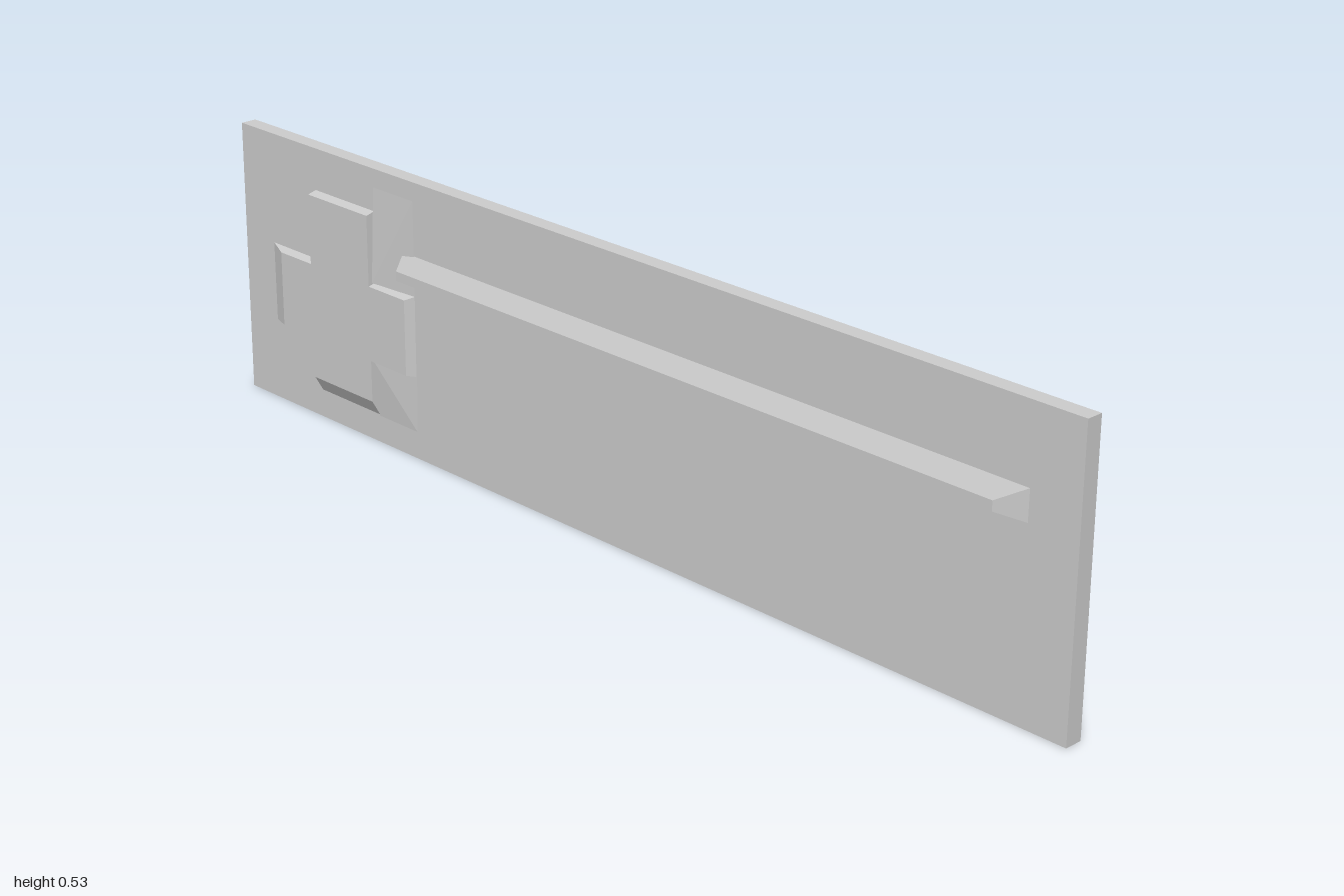
import * as THREE from 'three';

const material = new THREE.MeshStandardMaterial({ color: 0xcccccc, flatShading: true });
const HALF = 0.017; // half thickness of the slab
const RAISED = 0.034; // height of the raised relief

function addMesh(parent, name, geometry) {
  geometry.computeVertexNormals();
  const mesh = new THREE.Mesh(geometry, material);
  mesh.name = name;
  parent.add(mesh);
}

// Raised block: base and face rectangles are [x0, x1, y0, y1]; side is +1 front, -1 back
function relief(parent, name, side, base, face) {
  const geometry = new THREE.BoxGeometry(1, 1, 1).toNonIndexed();
  const p = geometry.attributes.position;
  for (let i = 0; i < p.count; i++) {
    const outer = p.getZ(i) * side > 0;
    const r = outer ? face : base;
    p.setXYZ(i, p.getX(i) < 0 ? r[0] : r[1], p.getY(i) < 0 ? r[2] : r[3],
      side * (outer ? RAISED : HALF - 0.003));
  }
  addMesh(parent, name, geometry);
}

// Shallow sloping web filling an inner corner of the cross
function web(parent, side, x, y, dx, dy) {
  const s = side * HALF * 0.98;
  const corner = [x, y, side * 0.026];
  const a = [x + dx, y, s], b = [x + dx, y + dy, s], c = [x, y + dy, s];
  const flip = dx * dy * side < 0;
  const tris = [[corner, a, b], [corner, b, c]];
  const points = tris.flatMap(([p, q, r]) => (flip ? [p, r, q] : [p, q, r])).flat();
  const geometry = new THREE.BufferGeometry();
  geometry.setAttribute('position', new THREE.Float32BufferAttribute(points, 3));
  addMesh(parent, 'cornerWeb', geometry);
}

export function createModel() {
  const model = new THREE.Group();
  model.name = 'crossAndBarPanel';

  // Flat slab, slightly thinner along its top edge
  const slab = new THREE.BoxGeometry(2, 0.53, HALF * 2).toNonIndexed();
  slab.translate(0, 0.265, 0);
  const p = slab.attributes.position;
  for (let i = 0; i < p.count; i++) {
    if (p.getY(i) > 0.3) p.setZ(i, p.getZ(i) * 0.92);
  }
  addMesh(model, 'slab', slab);

  for (const side of [1, -1]) {
    const face = new THREE.Group();
    face.name = side > 0 ? 'frontRelief' : 'backRelief';
    model.add(face);

    // Cross with sloped lower and outer tips
    relief(face, 'crossUpright', side, [-0.78, -0.61, 0.05, 0.45], [-0.78, -0.61, 0.085, 0.445]);
    relief(face, 'crossOuterArm', side, [-0.92, -0.78, 0.16, 0.315], [-0.87, -0.78, 0.165, 0.31]);
    relief(face, 'crossInnerArm', side, [-0.61, -0.5, 0.16, 0.315], [-0.61, -0.51, 0.165, 0.31]);

    // Webs in the inner corners beside the bar
    web(face, side, -0.61, 0.315, 0.11, 0.18);
    web(face, side, -0.61, 0.16, 0.11, -0.11);

    // Long bar: steep underside, sloped top, tapered far end
    relief(face, 'longBar', side, [-0.53, 0.91, 0.335, 0.395], [-0.53, 0.85, 0.342, 0.36]);
  }
  return model;
}
